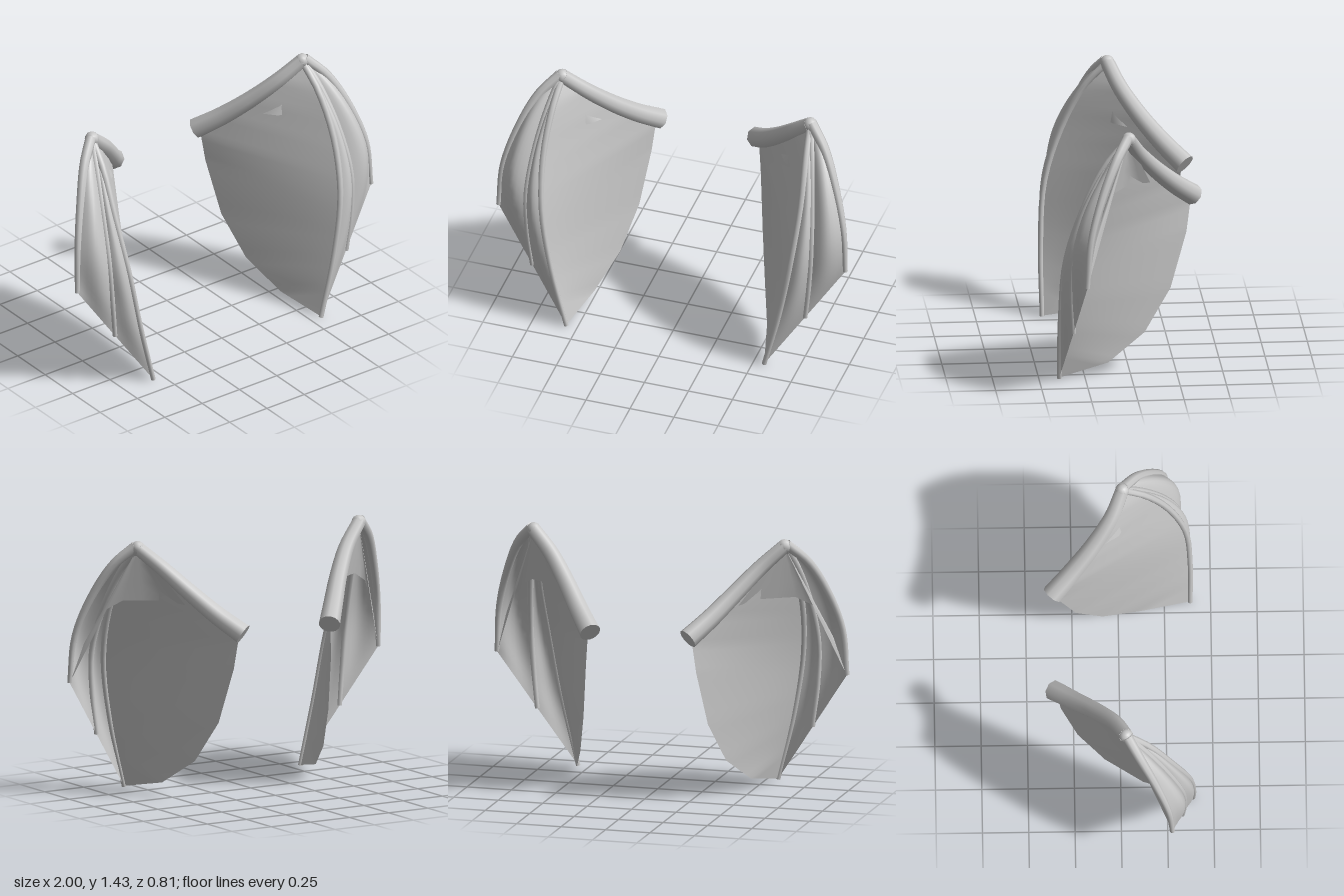
import * as THREE from 'three';

const wingGrey = new THREE.MeshStandardMaterial({ color: 0xc8c8c8 });
wingGrey.name = 'wing grey';
const membraneGrey = wingGrey.clone();
membraneGrey.name = 'membrane grey';
membraneGrey.side = THREE.DoubleSide;

// Control points for the left wing; the right one is mirrored in x
const ARM = [[0.275, 0.935, -0.36], [0.37, 1.03, -0.25], [0.475, 1.15, -0.135], [0.59, 1.28, -0.035], [0.705, 1.39, 0.025]];
const FINGERS = [
  [[0.715, 1.4, 0.03], [0.81, 1.3, 0.1], [0.895, 1.13, 0.18], [0.965, 0.9, 0.25], [0.985, 0.64, 0.272]],
  [[0.71, 1.39, 0.03], [0.75, 1.25, 0.13], [0.79, 1.03, 0.245], [0.81, 0.79, 0.325], [0.80, 0.56, 0.34], [0.775, 0.325, 0.33]],
  [[0.705, 1.38, 0.03], [0.72, 1.26, 0.145], [0.733, 1.02, 0.27], [0.71, 0.72, 0.365], [0.65, 0.37, 0.39], [0.562, 0.007, 0.39]],
];
const TRAILING = [[0.295, 0.89, -0.34], [0.31, 0.74, -0.32], [0.35, 0.435, -0.23], [0.41, 0.207, -0.085], [0.49, 0.065, 0.12], [0.562, 0.01, 0.39]];
const FOLD_EDGE = [[0.485, 1.075, -0.11], [0.55, 1.09, 0.005], [0.74, 1.09, 0.12], [0.84, 1.03, 0.175], [0.92, 0.86, 0.225], [0.98, 0.645, 0.27]];

function createWing(side) {
  const wing = new THREE.Group();
  wing.name = side > 0 ? 'leftWing' : 'rightWing';
  const points = list => list.map(([x, y, z]) => new THREE.Vector3(x * side, y, z));
  const curve = list => new THREE.CatmullRomCurve3(points(list));

  function add(name, geometry, material) {
    const mesh = new THREE.Mesh(geometry, material);
    mesh.name = name;
    wing.add(mesh);
    return mesh;
  }

  // Tapered tube with flat end caps
  function bone(name, path, r0, r1, sides) {
    const n = 20;
    const geo = new THREE.TubeGeometry(path, n, 1, sides, false);
    const pos = geo.attributes.position;
    const v = new THREE.Vector3();
    for (let i = 0; i <= n; i++) {
      const c = path.getPointAt(i / n);
      const r = THREE.MathUtils.lerp(r0, r1, i / n);
      for (let j = 0; j <= sides; j++) {
        const k = i * (sides + 1) + j;
        v.fromBufferAttribute(pos, k).sub(c).multiplyScalar(r).add(c);
        pos.setXYZ(k, v.x, v.y, v.z);
      }
    }
    add(name, geo, wingGrey);
    [[0, r0, -1], [1, r1, 1]].forEach(([t, r, dir]) => {
      const cap = add(name + 'Cap', new THREE.CircleGeometry(r, sides * 2), wingGrey);
      cap.position.copy(path.getPointAt(t));
      cap.quaternion.setFromUnitVectors(new THREE.Vector3(0, 0, 1), path.getTangentAt(t).multiplyScalar(dir));
    });
  }

  // Skin stretched between two edges, optionally bulging outward
  function skin(name, edgeA, edgeB, rows, cols, bulge = 0) {
    const verts = [], index = [];
    for (let i = 0; i <= rows; i++) {
      const t = i / rows, a = edgeA(t), b = edgeB(t);
      for (let j = 0; j <= cols; j++) {
        const s = j / cols;
        const p = a.clone().lerp(b, s);
        const h = bulge * Math.sin(Math.PI * s) * Math.sin(Math.PI * t);
        verts.push(p.x + side * h * 0.5, p.y, p.z + h);
        if (i < rows && j < cols) {
          const k = i * (cols + 1) + j, m = k + cols + 1;
          if (side > 0) index.push(k, m, k + 1, k + 1, m, m + 1);
          else index.push(k, k + 1, m, k + 1, m + 1, m);
        }
      }
    }
    const geo = new THREE.BufferGeometry();
    geo.setAttribute('position', new THREE.Float32BufferAttribute(verts, 3));
    geo.setIndex(index);
    geo.computeVertexNormals();
    add(name, geo, membraneGrey);
  }

  const polyline = list => {
    const pts = points(list), n = pts.length - 1;
    return t => {
      const i = Math.min(n - 1, Math.floor(t * n + 1e-6));
      return pts[i].clone().lerp(pts[i + 1], t * n - i);
    };
  };

  // Arm, knuckle and fingers
  const arm = curve(ARM);
  bone('arm', arm, 0.058, 0.039, 8);
  const knuckle = add('knuckle', new THREE.SphereGeometry(0.039, 10, 8), wingGrey);
  knuckle.position.copy(arm.getPoint(1));
  const fingers = FINGERS.map(curve);
  const radii = [0.03, 0.02, 0.02];
  fingers.forEach((f, i) => bone('finger' + (i + 1), f, radii[i], 0.013, 8));

  // Pleated membranes between the fingers
  const along = f => t => f.getPointAt(t);
  skin('outerMembrane', along(fingers[0]), along(fingers[1]), 24, 8, 0.05);
  skin('middleMembrane', along(fingers[1]), along(fingers[2]), 24, 8, 0.03);

  // Large membrane from the last finger to the arm and trailing edge
  const rim = polyline([ARM[4], ARM[3], ARM[2], ARM[1], ...TRAILING]);
  skin('innerMembrane', along(fingers[2]), rim, 45, 8);

  // Folded skin behind the elbow
  const elbow = points([ARM[4]])[0];
  skin('elbowFold', () => elbow, polyline(FOLD_EDGE), 10, 3);
  return wing;
}

export function createModel() {
  const model = new THREE.Group();
  model.name = 'foldedWings';
  model.add(createWing(1), createWing(-1));
  return model;
}
